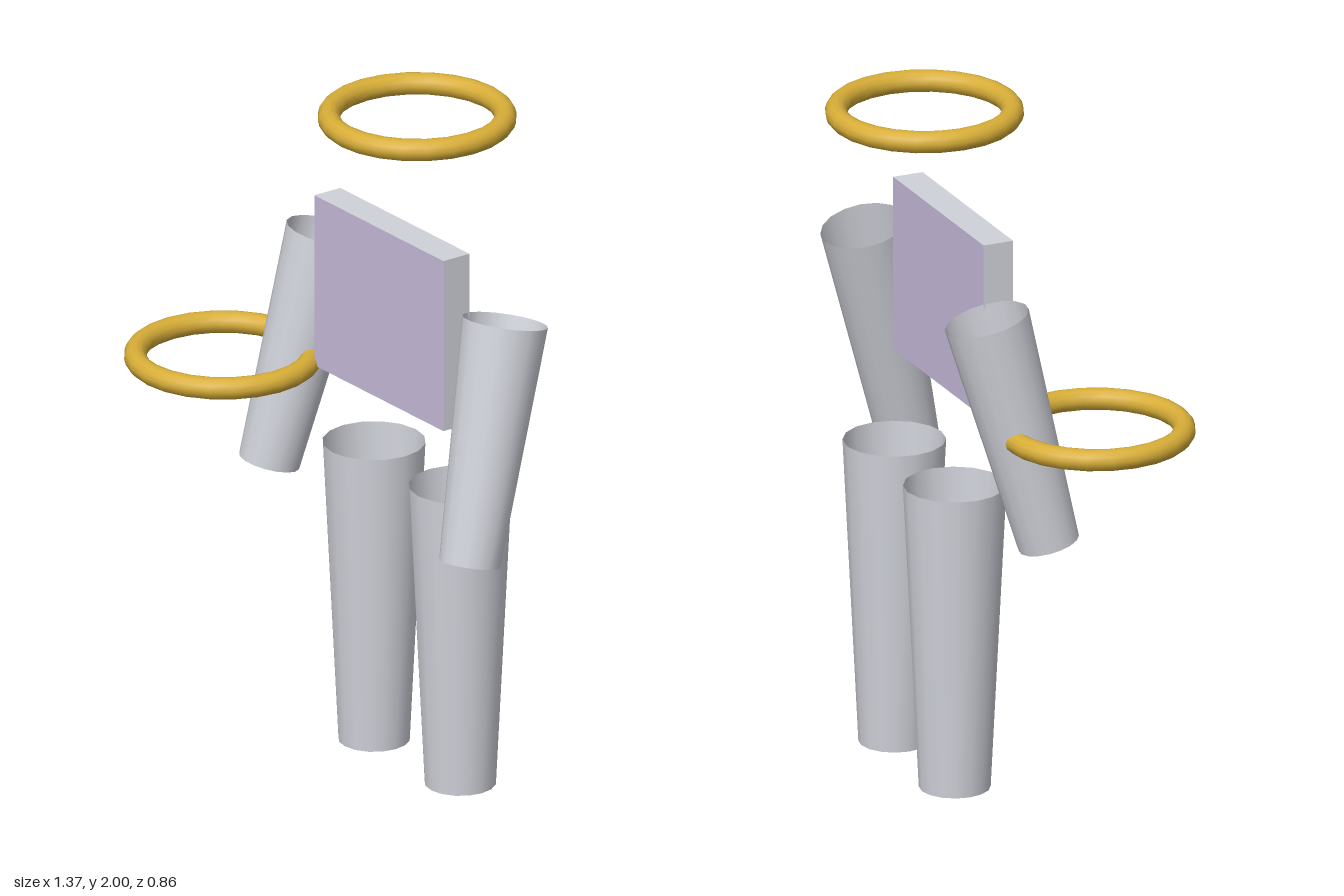
import * as THREE from 'three';

export function createModel() {
  const model = new THREE.Group();
  const grey = new THREE.MeshStandardMaterial({ color: 0xd0d2da, side: THREE.DoubleSide });
  grey.name = 'pale grey';
  const lilac = new THREE.MeshStandardMaterial({ color: 0xc7bada });
  lilac.name = 'lilac';
  const gold = new THREE.MeshStandardMaterial({ color: 0xd8ae38 });
  gold.name = 'gold';

  const midX = 0.118, midZ = -0.147;

  function add(name, geometry, material, x, y, z) {
    const mesh = new THREE.Mesh(geometry, material);
    mesh.name = name;
    mesh.position.set(x, y, z);
    model.add(mesh);
    return mesh;
  }

  // Open tapered tube running between two points
  function sleeve(name, top, bottom, rTop, rBottom) {
    const axis = top.clone().sub(bottom);
    const geometry = new THREE.CylinderGeometry(rTop, rBottom, axis.length(), 16, 1, true);
    const c = top.clone().add(bottom).multiplyScalar(0.5);
    const mesh = add(name, geometry, grey, c.x, c.y, c.z);
    mesh.quaternion.setFromUnitVectors(new THREE.Vector3(0, 1, 0), axis.normalize());
  }

  // Torso slab: lilac front and back, grey edges
  add('torso', new THREE.BoxGeometry(0.614, 0.52, 0.092),
    [grey, grey, grey, grey, lilac, lilac], midX, 1.4, -0.058);

  // Mirrored arms and legs
  for (const [side, s] of [['left', 1], ['right', -1]]) {
    sleeve(side + 'Arm',
      new THREE.Vector3(midX + s * 0.42, 1.48, -0.146),
      new THREE.Vector3(midX + s * 0.477, 0.8, 0.021), 0.123, 0.088);
    const legX = midX + s * 0.205;
    sleeve(side + 'Leg',
      new THREE.Vector3(legX, 0.91, midZ),
      new THREE.Vector3(legX, 0, midZ), 0.147, 0.102);
  }

  // Halo above the body and the ring held at the right hand
  const ring = new THREE.TorusGeometry(0.251, 0.032, 12, 24).rotateX(Math.PI / 2);
  add('halo', ring, gold, midX, 1.968, midZ);
  add('handRing', ring, gold, -0.406, 1.139, 0.147);

  return model;
}
